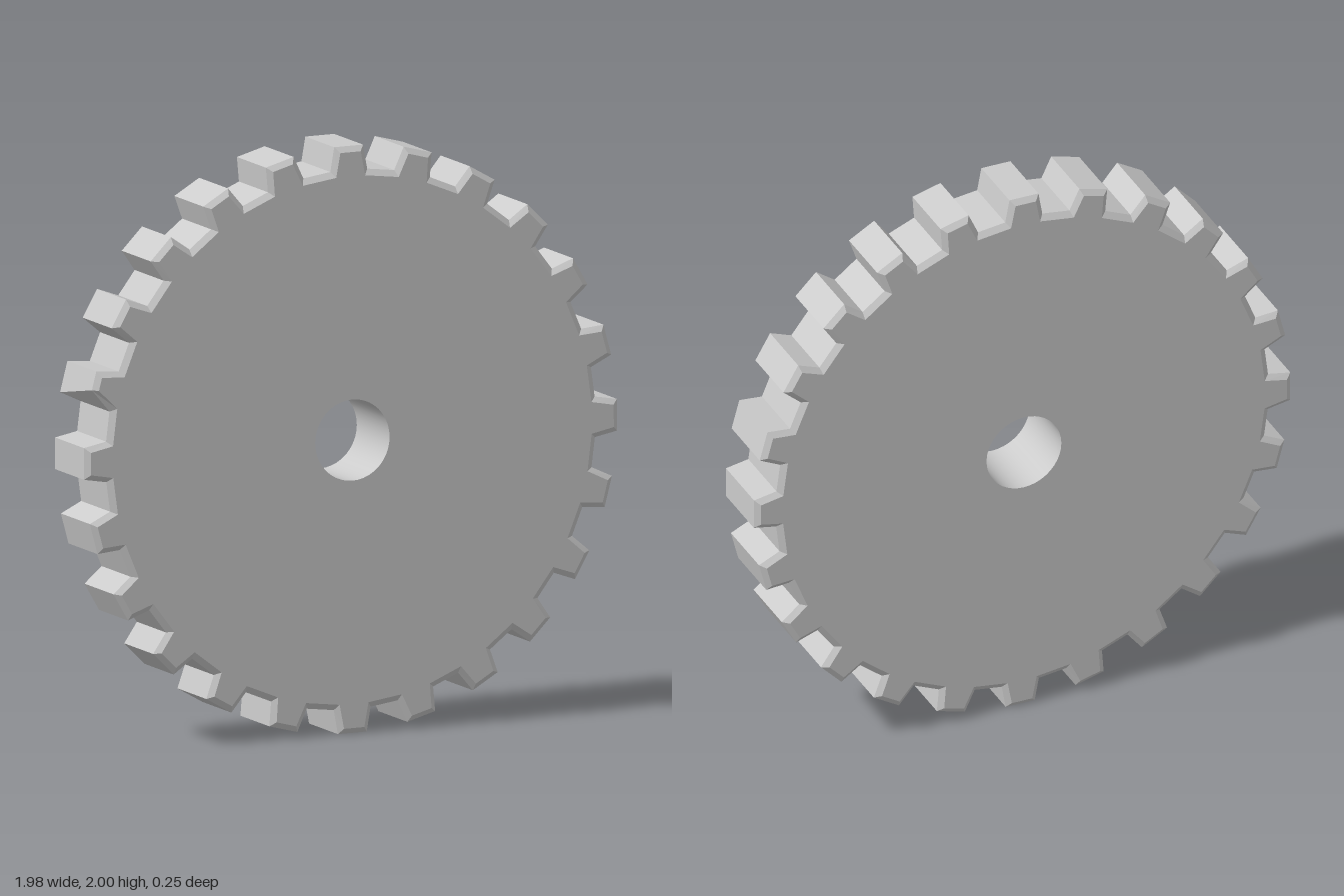
import * as THREE from 'three';

const TEETH = 24, STEP = (Math.PI * 2) / TEETH, PHASE = 0.007;
const HALF = 0.127, CHAMFER = 0.015, HOLE_R = 0.138, CHIPPED = 11;

// Closed toothed outline: four points per tooth (root, tip, tip, root), counter-clockwise.
function outline(tipR, rootR, tipHalf, rootHalf, chip) {
  const pts = [];
  for (let i = 0; i < TEETH; i++) {
    const a = i * STEP + PHASE;
    const tooth = [[rootR, -rootHalf], [tipR, -tipHalf], [tipR, tipHalf], [rootR, rootHalf]]
      .map(([r, w]) => new THREE.Vector2(
        0.99 * (r * Math.cos(a) - w * Math.sin(a)),
        r * Math.sin(a) + w * Math.cos(a)));
    // One tooth has a chipped front corner
    if (chip && i === CHIPPED) tooth[2].lerp(tooth[1], 0.4);
    pts.push(...tooth);
  }
  return pts;
}

// Band of quads joining successive rings from back to front
function rimGeometry(rings) {
  const pos = [], index = [], n = rings[0].pts.length;
  rings.forEach(({ pts, z }) => pts.forEach(p => pos.push(p.x, p.y, z)));
  for (let k = 0; k < rings.length - 1; k++) {
    for (let i = 0; i < n; i++) {
      const j = (i + 1) % n, b = k * n, f = b + n;
      index.push(b + i, b + j, f + j, b + i, f + j, f + i);
    }
  }
  const g = new THREE.BufferGeometry();
  g.setAttribute('position', new THREE.Float32BufferAttribute(pos, 3));
  g.setIndex(index);
  const flat = g.toNonIndexed();
  flat.computeVertexNormals();
  return flat;
}

// Flat side of the gear with the axle hole cut out
function faceGeometry({ pts, z }, back) {
  const shape = new THREE.Shape(pts);
  const hole = new THREE.Path();
  hole.absarc(0, 0, HOLE_R, 0, Math.PI * 2, true);
  shape.holes.push(hole);
  const g = new THREE.ShapeGeometry(shape, 20);
  if (back) g.index.array.reverse();
  g.translate(0, 0, z);
  const flat = g.toNonIndexed();
  flat.computeVertexNormals();
  return flat;
}

export function createModel() {
  const gear = new THREE.Group();
  gear.name = 'gear';
  const flatMat = new THREE.MeshStandardMaterial({ color: 0xcccccc, flatShading: true });
  const boreMat = new THREE.MeshStandardMaterial({ color: 0xcccccc, side: THREE.BackSide });
  const add = (name, geometry, material) => {
    const mesh = new THREE.Mesh(geometry, material);
    mesh.name = name;
    gear.add(mesh);
    return mesh;
  };

  const outer = chip => outline(0.998, 0.915, 0.054, 0.069, chip);
  const inner = chip => outline(0.979, 0.896, 0.038, 0.054, chip);
  const rings = [
    { pts: inner(false), z: -HALF },
    { pts: outer(false), z: -HALF + CHAMFER },
    { pts: outer(true), z: HALF - CHAMFER },
    { pts: inner(true), z: HALF },
  ];

  // Toothed rim with chamfered edges
  add('toothedRim', rimGeometry(rings), flatMat);
  // Flat sides
  add('frontFace', faceGeometry(rings[3], false), flatMat);
  add('backFace', faceGeometry(rings[0], true), flatMat);
  // Smooth axle hole
  const bore = new THREE.CylinderGeometry(HOLE_R, HOLE_R, HALF * 2, 40, 1, true);
  bore.rotateX(Math.PI / 2);
  add('axleHole', bore, boreMat);

  gear.position.y = 0.998;
  return gear;
}
